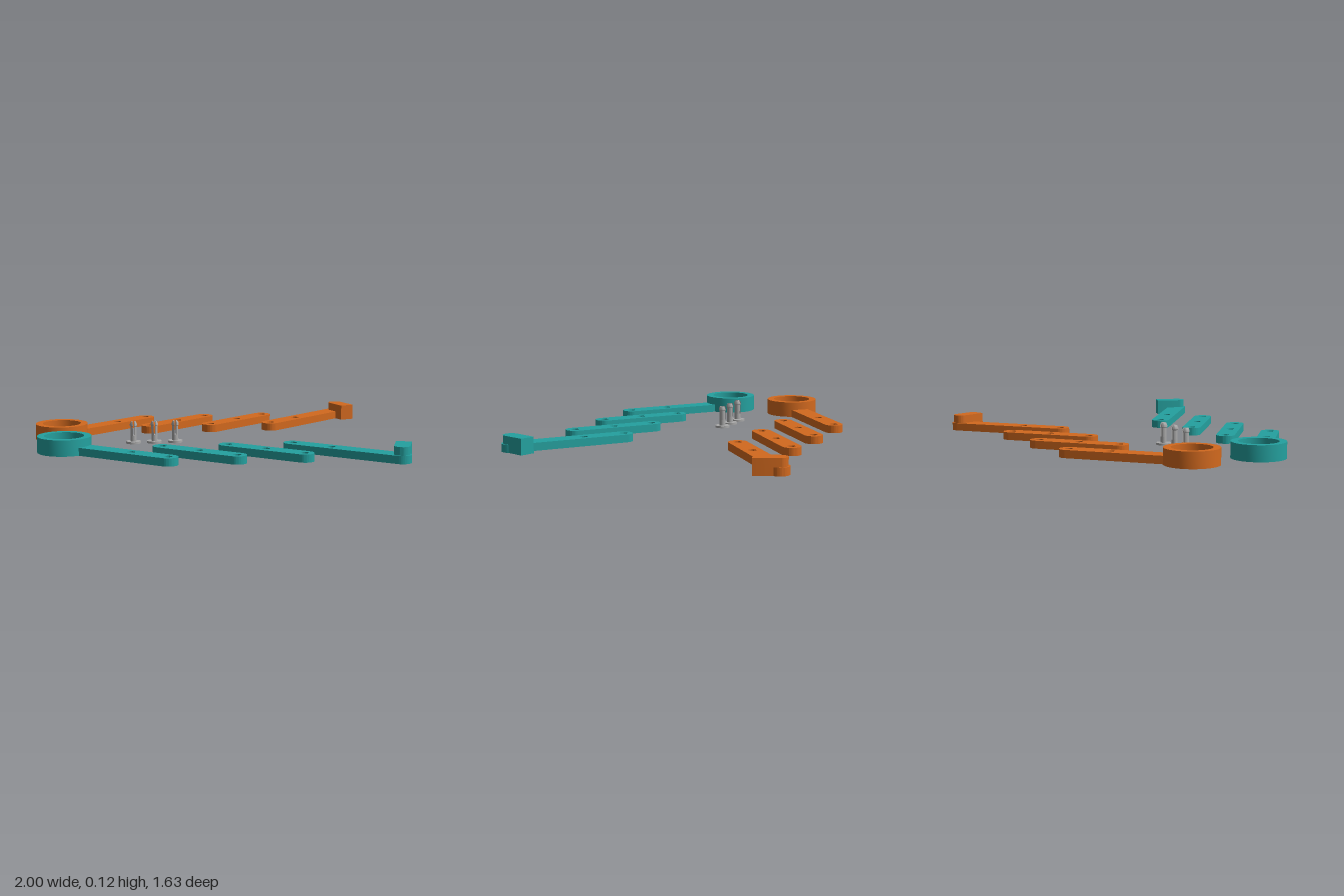
import * as THREE from 'three';
import { toCreasedNormals } from 'three/addons/utils/BufferGeometryUtils.js';

const BAR_H = 0.044, TALL = 0.09, BAR_R = 0.053, HOLE_R = 0.022;
const BAR_ANGLE = THREE.MathUtils.degToRad(40);
const HOOK_ANGLE = THREE.MathUtils.degToRad(70);

// Extrudes a plan shape upward from the ground
function slab(shape, height) {
  const geo = new THREE.ExtrudeGeometry(shape, { depth: height, bevelEnabled: false, curveSegments: 24 });
  geo.rotateX(-Math.PI / 2);
  return toCreasedNormals(geo, 0.6);
}

function punch(shape, x, r) {
  const hole = new THREE.Path();
  hole.absarc(x, 0, r, 0, Math.PI * 2, true);
  shape.holes.push(hole);
}

// Strip along x with a round far end; the near end is round or square
function strip(x0, x1, r, roundStart, holes = []) {
  const s = new THREE.Shape();
  s.moveTo(x0, -r);
  s.lineTo(x1, -r);
  s.absarc(x1, 0, r, -Math.PI / 2, Math.PI / 2, false);
  s.lineTo(x0, r);
  if (roundStart) s.absarc(x0, 0, r, Math.PI / 2, Math.PI * 1.5, false);
  else s.lineTo(x0, -r);
  holes.forEach((x) => punch(s, x, HOLE_R));
  return s;
}

function addMesh(parent, name, geo, mat, x = 0, z = 0, angle = 0) {
  const m = new THREE.Mesh(geo, mat);
  m.name = name;
  m.position.set(x, 0, z);
  m.rotation.y = angle;
  parent.add(m);
  return m;
}

// One half of the scissor linkage; side is +1 at the front, -1 at the back
function linkageSet(name, mat, side) {
  const g = new THREE.Group();
  g.name = name;
  const tilt = -BAR_ANGLE * side;

  // Finger ring with its arm
  const ring = new THREE.Shape();
  ring.absarc(0, 0, 0.15, 0, Math.PI * 2, false);
  punch(ring, 0, 0.11);
  addMesh(g, 'fingerRing', slab(ring, TALL), mat, -0.85, 0.207 * side);
  addMesh(g, 'ringArm', slab(strip(0.13, 0.69, BAR_R, false, [0.451, 0.69]), BAR_H), mat, -0.85, 0.207 * side, tilt);

  // Plain links with three pivot holes
  const link = slab(strip(0, 0.477, BAR_R, true, [0, 0.2385, 0.477]), BAR_H);
  [-0.32, 0.045].forEach((x, i) => addMesh(g, 'link' + (i + 1), link, mat, x, 0.343 * side, tilt));

  // Gripper arm with its raised jaw
  addMesh(g, 'gripperArm', slab(strip(0, 0.655, BAR_R, true, [0, 0.2385]), BAR_H), mat, 0.41, 0.343 * side, tilt);
  addMesh(g, 'gripperJaw', slab(strip(-0.136, 0, 0.043, false), TALL), mat,
    0.912, 0.765 * side, HOOK_ANGLE * side + Math.PI);
  return g;
}

// Half of the split snap end: a turned profile flattened along the slot
function prongGeometry() {
  const pts = [[0, 0.045], [0.0175, 0.045], [0.0175, 0.098], [0.021, 0.102], [0.021, 0.11], [0.014, 0.125], [0, 0.125]]
    .map(([r, y]) => new THREE.Vector2(r, y));
  const geo = new THREE.LatheGeometry(pts, 32);
  const p = geo.attributes.position;
  for (let i = 0; i < p.count; i++) p.setX(i, Math.max(p.getX(i), 0.005));
  return toCreasedNormals(geo, 0.5);
}

export function createModel() {
  const model = new THREE.Group();
  model.name = 'scissorGrabberKit';
  const material = (name, color) => {
    const m = new THREE.MeshStandardMaterial({ color });
    m.name = name;
    return m;
  };
  const teal = material('teal', 0x24a19f);
  const orange = material('orange', 0xd2691e);
  const grey = material('grey', 0xa9a9a9);

  model.add(linkageSet('frontLinkage', teal, 1), linkageSet('backLinkage', orange, -1));

  // Split pivot pins
  const head = new THREE.CylinderGeometry(0.042, 0.042, 0.012, 40).translate(0, 0.006, 0);
  const shaft = new THREE.CylinderGeometry(0.0175, 0.0175, 0.035, 32).translate(0, 0.0285, 0);
  const prong = prongGeometry();
  [-0.45, -0.33, -0.21].forEach((x, i) => {
    const pin = new THREE.Group();
    pin.name = 'pin' + (i + 1);
    pin.position.x = x;
    addMesh(pin, 'pinHead', head, grey);
    addMesh(pin, 'pinShaft', shaft, grey);
    addMesh(pin, 'pinProngRight', prong, grey, 0, 0, Math.PI);
    addMesh(pin, 'pinProngLeft', prong, grey);
    model.add(pin);
  });
  return model;
}
